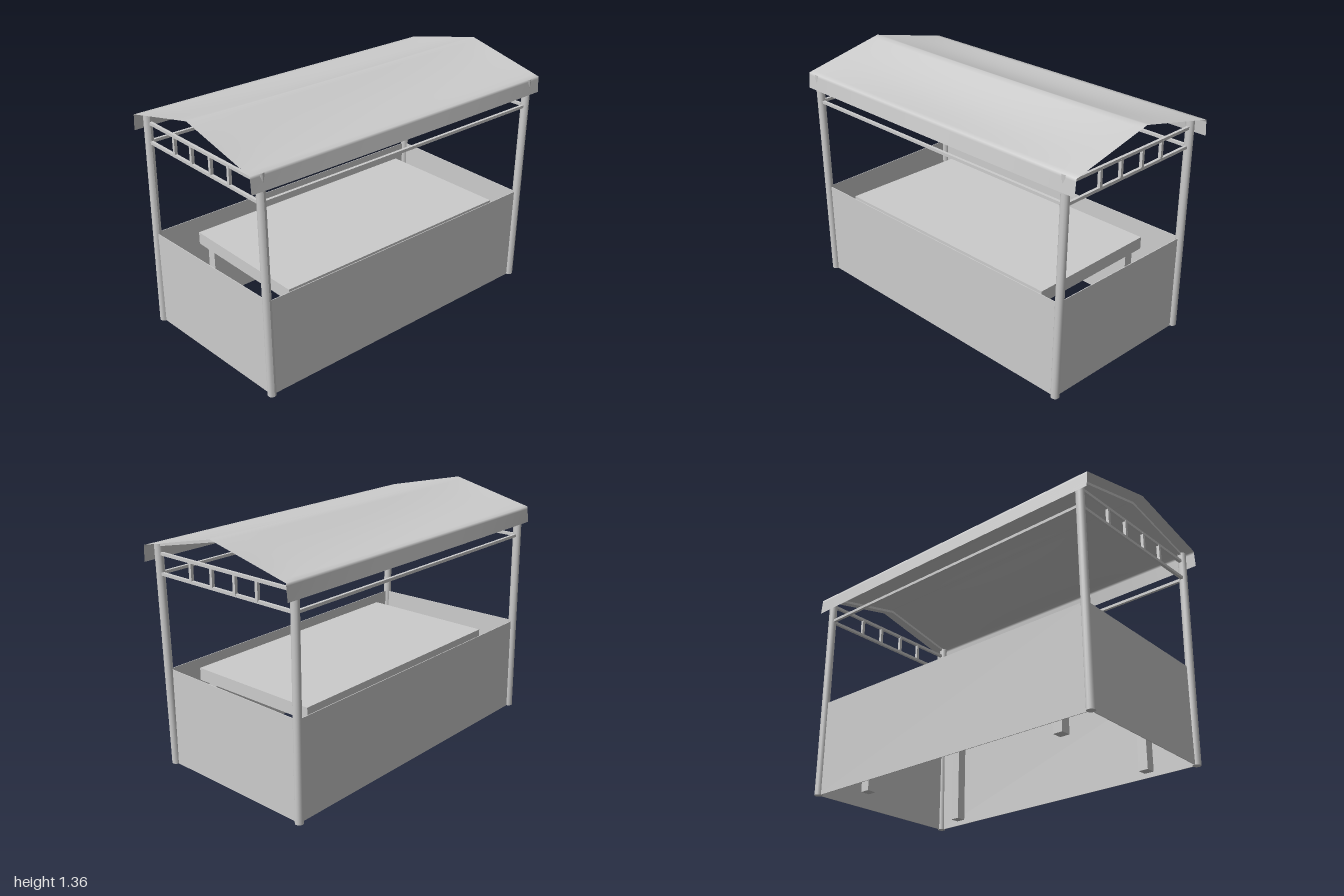
import * as THREE from 'three';

const UP = new THREE.Vector3(0, 1, 0);
const V = (x, y, z) => new THREE.Vector3(x, y, z);

export function createModel() {
  const stall = new THREE.Group();
  stall.name = 'marketStall';
  const grey = new THREE.MeshStandardMaterial({ color: 0xcccccc });
  grey.name = 'grey';
  const canvas = new THREE.MeshStandardMaterial({ color: 0xcccccc, side: THREE.DoubleSide });
  canvas.name = 'greyCanvas';

  function add(name, geometry, material = grey) {
    const mesh = new THREE.Mesh(geometry, material);
    mesh.name = name;
    stall.add(mesh);
    return mesh;
  }
  // Square bar running between two points
  function bar(name, a, b, size) {
    const dir = b.clone().sub(a);
    const mesh = add(name, new THREE.BoxGeometry(size, dir.length(), size));
    mesh.position.copy(a).add(b).multiplyScalar(0.5);
    mesh.quaternion.setFromUnitVectors(UP, dir.normalize());
  }

  // Corner posts: [bottom x, top x, z], slightly leaning
  const posts = [
    [0.90, 0.925, 0.477], [0.922, 0.922, -0.472],
    [-0.948, -0.935, -0.472], [-0.912, -0.932, 0.477],
  ];
  const height = 1.24;
  for (const [x0, x1, z] of posts) {
    const g = new THREE.CylinderGeometry(0.023, 0.023, height, 12);
    g.translate(0, height / 2, 0);
    const p = g.attributes.position;
    for (let i = 0; i < p.count; i++) {
      p.setX(i, p.getX(i) + x0 + (x1 - x0) * p.getY(i) / height);
      p.setZ(i, p.getZ(i) + z);
    }
    g.computeVertexNormals();
    add('cornerPost', g);
  }

  // Side panels and lower rails, post to post
  posts.forEach(([x0, x1, z], i) => {
    const [u0, u1, w] = posts[(i + 1) % 4];
    const length = Math.hypot(u0 - x0, w - z);
    const panel = add('wallPanel', new THREE.BoxGeometry(length, 0.55, 0.004));
    panel.position.set((x0 + u0) / 2, 0.275, (z + w) / 2);
    panel.rotation.y = -Math.atan2(w - z, u0 - x0);
    bar('lowerRail', V(x1, 1.082, z), V(u1, 1.082, w), 0.016);
  });

  // End trusses and gable rafters
  for (const x of [-0.932, 0.924]) {
    bar('upperRail', V(x, 1.188, 0.477), V(x, 1.188, -0.472), 0.016);
    for (const z of [0.235, 0.082, -0.08, -0.232])
      bar('trussUpright', V(x, 1.082, z), V(x, 1.188, z), 0.017);
    for (const s of [-1, 1])
      bar('rafter', V(x, 1.232, s * 0.475), V(x, 1.337, 0), 0.015);
  }

  // Table
  add('tableTop', new THREE.BoxGeometry(1.49, 0.07, 0.79)).position.set(0, 0.487, 0.027);
  for (const x of [-0.67, 0.67])
    for (const z of [-0.33, 0.38])
      add('tableLeg', new THREE.BoxGeometry(0.055, 0.455, 0.055)).position.set(x, 0.2275, z);

  // Canvas roof: a gable with hanging valances, sagging between the end frames
  const rows = 44, cols = 24, edge = 6;
  const roof = new THREE.PlaneGeometry(2, 1, cols, rows);
  const p = roof.attributes.position;
  for (let i = 0; i < p.count; i++) {
    const x = p.getX(i);
    const row = Math.floor(i / (cols + 1)) - rows / 2;
    const side = Math.sign(row), n = Math.abs(row), slope = rows / 2 - edge;
    const middle = Math.pow(Math.cos(x * Math.PI / 2), 0.7) || 0;
    let y, z;
    if (n <= slope) {
      const t = n / slope;
      z = 0.495 * t;
      y = 1.355 - 0.113 * t - middle * (0.026 * Math.sin(Math.PI * t) + 0.004 * (1 - t));
    } else {
      const t = (n - slope) / edge;
      z = 0.495 + 0.008 * t + 0.005 * t * middle;
      y = 1.242 - 0.09 * t;
    }
    p.setXYZ(i, x, y, side * z);
  }
  roof.computeVertexNormals();
  add('canvasRoof', roof, canvas);

  return stall;
}
